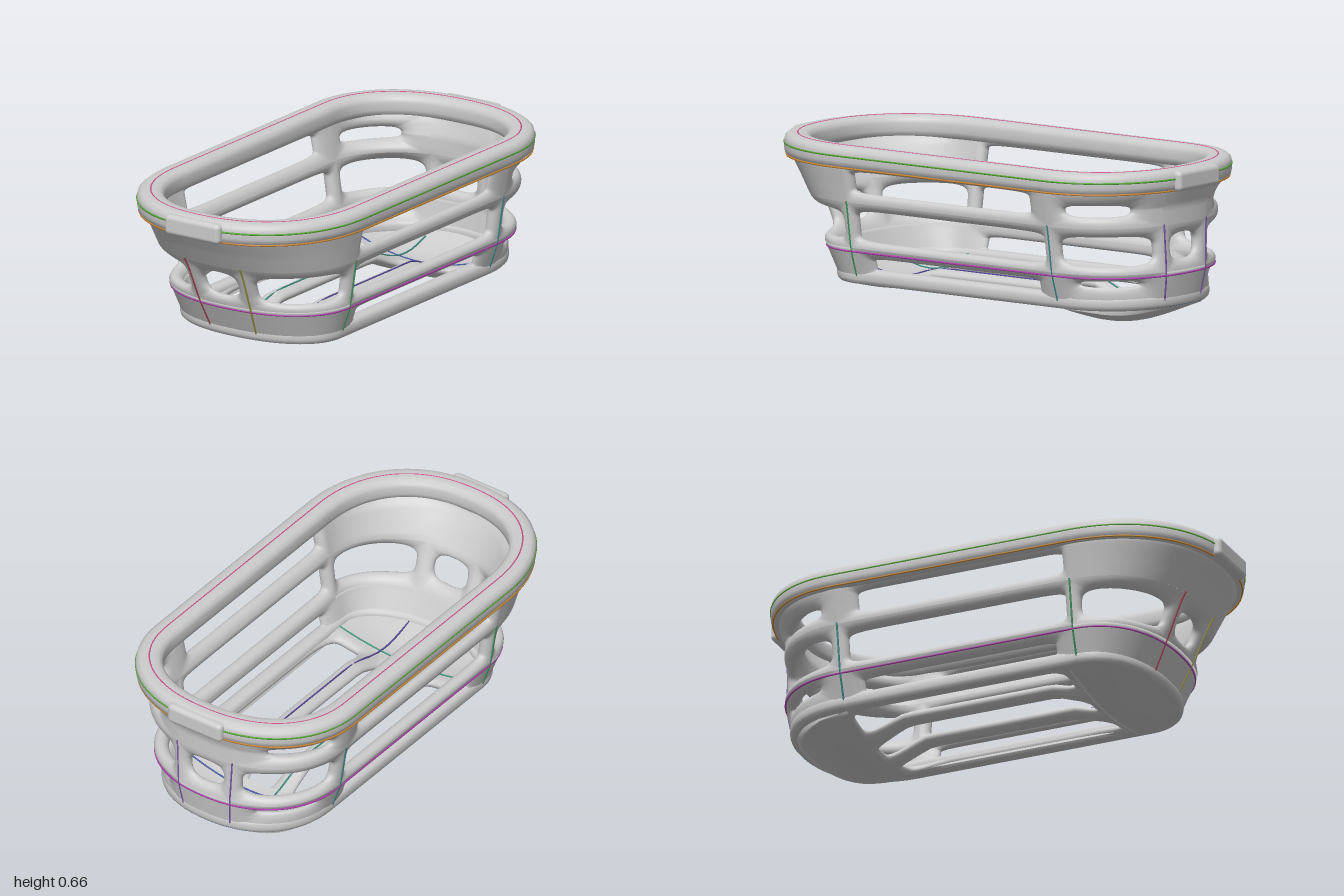
import * as THREE from 'three';
import { mergeVertices } from 'three/addons/utils/BufferGeometryUtils.js';
import { RoundedBoxGeometry } from 'three/addons/geometries/RoundedBoxGeometry.js';

const grey = new THREE.MeshStandardMaterial({ color: 0xcccccc });
const T = 0.03; // half thickness of the walls

// Wall levels: height, half width, front end, back end
const LEVELS = [
  [0.08, 0.335, 0.66, -0.88], [0.23, 0.385, 0.735, -0.905], [0.4, 0.41, 0.81, -0.9],
  [0.5, 0.43, 0.875, -0.9], [0.57, 0.445, 0.925, -0.925], [0.66, 0.445, 0.935, -0.935],
];
const SIDE_FRONT = 0.47, SIDE_BACK = -0.56;

function level(y) {
  let i = 0;
  while (i < LEVELS.length - 2 && y > LEVELS[i + 1][0]) i++;
  const [p, q] = [LEVELS[i], LEVELS[i + 1]];
  const t = THREE.MathUtils.clamp((y - p[0]) / (q[0] - p[0]), 0, 1);
  return p.map((v, k) => v + (q[k] - v) * t);
}

// Plan outline: u = 0 front centre, 1..2 straight side, 3 back centre; negative u mirrors
function outline(u, y) {
  if (u > 3) u -= 6;
  if (u < -3) u += 6;
  const [, w, zf, zb] = level(y), m = Math.abs(u), sign = u < 0 ? -1 : 1;
  if (m >= 1 && m <= 2) return [sign * w, SIDE_FRONT + (SIDE_BACK - SIDE_FRONT) * (m - 1)];
  const a = (m < 1 ? m : 3 - m) * Math.PI / 2, n = 2.25;
  const s = Math.sin(a), c = Math.max(0, Math.cos(a));
  const r = Math.pow(s ** n + c ** n, -1 / n);
  const z = m < 1 ? SIDE_FRONT + (zf - SIDE_FRONT) * c * r : SIDE_BACK + (zb - SIDE_BACK) * c * r;
  return [sign * w * s * r, z];
}

// Point on the wall, d outwards from its middle surface; the upper corners thicken inwards
function wall(u, y, d) {
  const [x, z] = outline(u, y), [x0, z0] = outline(u - 0.01, y), [x1, z1] = outline(u + 0.01, y);
  const l = Math.hypot(x1 - x0, z1 - z0) || 1, m = Math.abs(u);
  if (d < 0 && (m < 1 || m > 2)) {
    const upper = THREE.MathUtils.smoothstep(y, 0.38, 0.45) * (1 - THREE.MathUtils.smoothstep(y, 0.55, 0.6));
    d *= 1 + upper * Math.sin(m * Math.PI) ** 2;
  }
  return new THREE.Vector3(x - (z1 - z0) / l * d, y, z + (x1 - x0) / l * d);
}

// Floor surface with the two dished ends (b runs towards the back)
const bump = q => Math.max(0, 1 - q * q) ** 1.5;
function floor(x, b, d) {
  const z = -b, across = Math.max(0, 1 - (x / 0.36) ** 2);
  const dip = across * (0.055 * bump((z - 0.47) / 0.22) + 0.085 * bump((z + 0.65) / 0.26));
  return new THREE.Vector3(x, 0.11 - dip + d, z);
}

function surface(name, f, nu, nv) {
  let g = new THREE.PlaneGeometry(1, 1, nu, nv);
  const uv = g.attributes.uv, pos = g.attributes.position;
  for (let i = 0; i < pos.count; i++) {
    const p = f(uv.getX(i), uv.getY(i));
    pos.setXYZ(i, p.x, p.y, p.z);
  }
  g.deleteAttribute('uv');
  g.deleteAttribute('normal');
  g = mergeVertices(g, 1e-5);
  g.computeVertexNormals();
  const mesh = new THREE.Mesh(g, grey);
  mesh.name = name;
  return mesh;
}

// Rectangular piece of wall or floor around a rounded opening with soft edges
function cell(name, map, [a0, a1, b0, b1], [h0, h1, k0, k1], n = 5, t = T) {
  return surface(name, (u, v) => {
    const ang = u * Math.PI * 2, phi = Math.PI / 2 - v * Math.PI;
    const c = Math.cos(ang), s = Math.sin(ang), big = Math.max(Math.abs(c), Math.abs(s));
    const r = Math.pow(Math.abs(c) ** n + Math.abs(s) ** n, -1 / n), e = Math.cos(phi);
    const oa = (a0 + a1) / 2 + (a1 - a0) / 2 * c / big, ob = (b0 + b1) / 2 + (b1 - b0) / 2 * s / big;
    const ia = (h0 + h1) / 2 + (h1 - h0) / 2 * c * r, ib = (k0 + k1) / 2 + (k1 - k0) / 2 * s * r;
    return map(oa + (ia - oa) * e, ob + (ib - ob) * e, t * Math.sin(phi));
  }, 96, 12);
}

// Solid piece
function slab(name, map, [a0, a1, b0, b1], t = T) {
  return surface(name, (u, v) => {
    const top = v < 0.5, k = top ? Math.min(1, v / 0.48) : Math.min(1, (1 - v) / 0.48);
    return map(a0 + (a1 - a0) * u, b0 + (b1 - b0) * k, top ? t : -t);
  }, 32, 25);
}

// Rounded bar swept right round the outline
function hoop(name, y, w, h, n) {
  return surface(name, (u, v) => {
    const a = v * Math.PI * 2, c = Math.cos(a), s = Math.sin(a);
    const r = Math.pow(Math.abs(c) ** n + Math.abs(s) ** n, -1 / n);
    const p = wall(-3 + 6 * u, y, w * c * r);
    p.y += h * s * r;
    return p;
  }, 180, 20);
}

// Thin coloured guide line
function line(name, pts, color, closed = false) {
  const curve = new THREE.CatmullRomCurve3(pts, closed);
  const m = new THREE.Mesh(new THREE.TubeGeometry(curve, pts.length * 2, 0.004, 5, closed),
    new THREE.MeshStandardMaterial({ color }));
  m.name = name;
  return m;
}

export function createModel() {
  const model = new THREE.Group();
  const add = (...parts) => model.add(...parts);
  const Y = [0.09, 0.235, 0.425, 0.6], P = 0.2, Q = 2.8; // row edges, post positions

  // Pieces mirrored left and right
  for (const side of [1, -1]) {
    const tag = side > 0 ? 'left' : 'right';
    const m = ([a, b, c, d]) => side > 0 ? [a, b, c, d] : [-b, -a, c, d];
    const open = (name, r, h, n) => add(cell(tag + name, wall, m(r), m(h), n));
    const solid = (name, r) => add(slab(tag + name, wall, m(r)));
    open('LowerSideRails', [1, 2, Y[0], Y[1]], [1.09, 1.91, 0.138, 0.195], 9);
    open('MiddleSideRails', [1, 2, Y[1], Y[2]], [1.03, 1.965, 0.262, 0.392], 9);
    open('UpperSideRails', [1, 2, Y[2], Y[3]], [1.03, 1.91, 0.463, 0.555], 9);
    solid('FrontLowerPanel', [P, 1, Y[0], Y[1]]);
    open('FrontWindow', [P, 1, Y[1], Y[2]], [0.26, 0.93, 0.265, 0.388], 4);
    solid('FrontUpperPanel', [P, 1, Y[2], Y[3]]);
    open('BackLowerPanel', [2, Q, Y[0], Y[1]], [2.2, 2.62, 0.178, 0.205], 3);
    open('BackWindow', [2, Q, Y[1], Y[2]], [2.07, 2.74, 0.265, 0.388], 4);
    open('BackUpperWindow', [2, Q, Y[2], Y[3]], [2.14, 2.6, 0.47, 0.52], 3);
    add(cell(tag + 'FloorSlot', floor, m([0.11, 0.345, -0.42, 0.6]), m([0.15, 0.31, -0.38, 0.56]), 6, 0.025));
  }

  // Centre pieces of the two ends; the back ones straddle u = 3
  for (const [end, c] of [['front', 0], ['back', 3]]) {
    add(slab(end + 'CentreLowerPanel', wall, [c - P, c + P, Y[0], Y[1]]));
    add(cell(end + 'CentreWindow', wall, [c - P, c + P, Y[1], Y[2]], [c - 0.135, c + 0.135, 0.275, 0.385], 2.6));
    add(slab(end + 'CentreUpperPanel', wall, [c - P, c + P, Y[2], Y[3]]));
  }

  // Floor: middle slot and dished ends that follow the outline
  add(cell('centreFloorSlot', floor, [-0.11, 0.11, -0.42, 0.6], [-0.07, 0.07, -0.38, 0.56], 6, 0.025));
  const pan = (z0, side, reach) => (s, t, d) => {
    const zEnd = side + reach * Math.max(0, 1 - Math.abs(s) ** 2.25) ** (1 / 2.25);
    return floor(0.345 * s, -(z0 + (zEnd - z0) * t), d);
  };
  const frontPan = pan(0.42, SIDE_FRONT, 0.21), backPan = pan(-0.56, -0.56, -0.33);
  add(slab('frontFloorPan', (s, t, d) => frontPan(s, 1 - t, d), [-1, 1, 0, 1], 0.025));
  add(slab('backFloorPan', backPan, [-1, 1, 0, 1], 0.025));

  // Top rim and the base rail that joins walls to floor
  add(hoop('topRim', 0.612, 0.055, 0.046, 4));
  add(hoop('baseRail', 0.112, 0.034, 0.032, 3));

  // Slightly raised pads on the rim ends
  for (const s of [1, -1]) {
    const pad = new THREE.Mesh(new RoundedBoxGeometry(0.27, 0.085, 0.12, 3, 0.02), grey);
    pad.name = s > 0 ? 'frontRimPad' : 'backRimPad';
    pad.position.set(0, 0.61, s * 0.938);
    add(pad);
  }

  // Coloured guide lines round the basket
  const loops = [
    ['rimTopLine', 0.61, 0, 0.046, 0xd0508a], ['rimSideLine', 0.62, 0.054, 0, 0x55aa33],
    ['rimLowerLine', 0.572, 0.049, 0, 0xcc8833],
    ['lowerLine', 0.22, T, 0, 0xb040b0], ['baseLine', 0.092, T, 0, 0x3377aa],
  ];
  for (const [name, y, d, lift, color] of loops) {
    const pts = Array.from({ length: 96 }, (_, i) => wall(-3 + i / 16, y, d).setY(y + lift));
    add(line(name, pts, color, true));
  }

  // Guide lines on the floor bars, cross ribs and posts
  for (const s of [1, -1]) {
    const bar = Array.from({ length: 16 }, (_, i) => floor(s * 0.11, -0.7 + i * 0.1, 0.026));
    add(line('floorBarLine', bar, s > 0 ? 0x5a4a99 : 0x3a8f80));
    for (const [u, color] of [[P, 0xa0a040], [1, 0x3a9a60], [2, 0x3a8f90], [Q, 0x7755aa]]) {
      const post = Array.from({ length: 7 }, (_, i) => wall(s * u, 0.1 + i * 0.055, T));
      add(line('postLine', post, s < 0 && u === P ? 0xb04055 : color));
    }
  }
  for (const [z, color] of [[0.44, 0x3a9a80], [-0.61, 0x4a5aaa]]) {
    const rib = Array.from({ length: 13 }, (_, i) => floor(-0.33 + i * 0.055, -z, 0.026));
    add(line('floorRibLine', rib, color));
  }
  return model;
}
